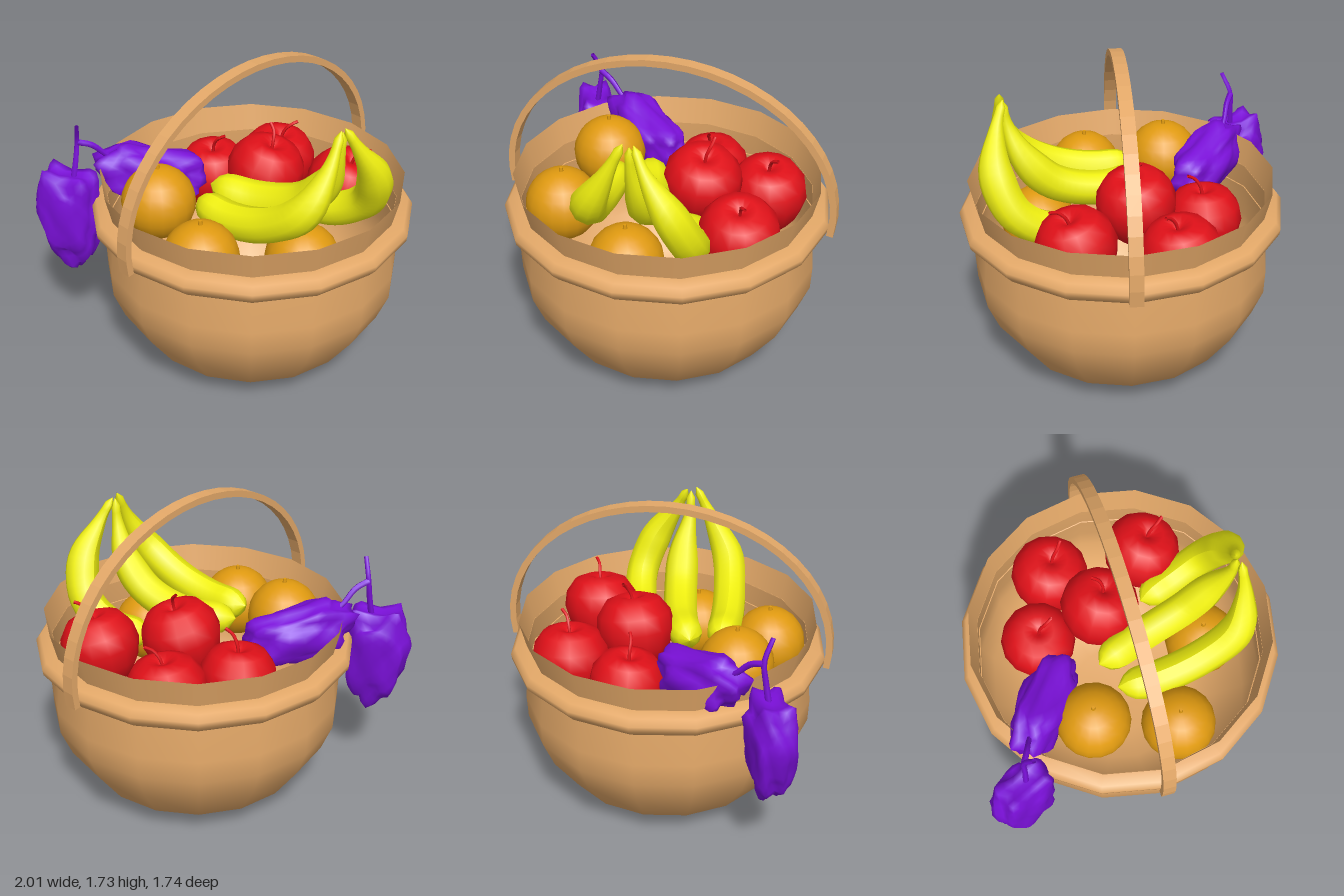
import * as THREE from 'three';
import { mergeVertices } from 'three/addons/utils/BufferGeometryUtils.js';

const paint = (color) => new THREE.MeshStandardMaterial({ color, side: THREE.DoubleSide });
const wicker = paint(0xe3a868), red = paint(0xe01018), orange = paint(0xe09a10);
const yellow = paint(0xf0f010), purple = paint(0x7a10d8);
const V = (p) => new THREE.Vector3(...p);

function add(parent, name, geometry, material, position = [0, 0, 0]) {
  const mesh = new THREE.Mesh(geometry, material);
  mesh.name = name;
  mesh.position.set(...position);
  parent.add(mesh);
  return mesh;
}

const lathe = (points, sides = 16) =>
  new THREE.LatheGeometry(points.map(([r, y]) => new THREE.Vector2(r, y)), sides);

// Tube along a curve whose radius follows a rule of t (0 to 1), closed by tapering
function taperedTube(points, radiusAt, segments, sides) {
  const curve = new THREE.CatmullRomCurve3(points.map(V));
  const geo = new THREE.TubeGeometry(curve, segments, 1, sides);
  const pos = geo.attributes.position, p = new THREE.Vector3();
  for (let i = 0; i < pos.count; i++) {
    const t = Math.floor(i / (sides + 1)) / segments;
    const c = curve.getPointAt(t);
    p.fromBufferAttribute(pos, i).sub(c).multiplyScalar(radiusAt(t)).add(c);
    pos.setXYZ(i, p.x, p.y, p.z);
  }
  geo.computeVertexNormals();
  return geo;
}

// Lumpy bunch: a sphere pushed in and out by waves, narrower towards -y
function bunchGeometry(sx, sy, sz, taper, seed) {
  let geo = new THREE.IcosahedronGeometry(1, 5);
  geo.deleteAttribute('normal');
  geo.deleteAttribute('uv');
  geo = mergeVertices(geo, 1e-4);
  const pos = geo.attributes.position;
  for (let i = 0; i < pos.count; i++) {
    const x = pos.getX(i), y = pos.getY(i), z = pos.getZ(i);
    const k = 1 + 0.1 * Math.sin(6 * x + seed) * Math.cos(5 * y - seed)
      + 0.07 * Math.sin(9 * z + 4 * y + seed) + 0.04 * Math.sin(13 * y + 8 * x);
    const w = k * (1 + taper * y);
    // Raising to a power squares the shoulders a little
    const box = (v) => Math.sign(v) * Math.abs(v) ** 0.8;
    pos.setXYZ(i, box(x) * sx * w, box(y) * sy * k, box(z) * sz * w);
  }
  geo.computeVertexNormals();
  return geo;
}

function makeBasket() {
  const basket = new THREE.Group();
  basket.name = 'basket';
  basket.position.x = 0.13;
  const body = new THREE.Group();
  body.name = 'basketBody';
  body.rotation.y = -0.06;
  basket.add(body);
  add(body, 'bowl', lathe([[0, 0.005], [0.27, 0.018], [0.45, 0.06], [0.6, 0.15],
    [0.74, 0.35], [0.8, 0.5], [0.805, 0.63], [0.785, 0.82], [0.78, 0.95]]), wicker);
  add(body, 'rolledRim', lathe([[0.78, 0.82], [0.83, 0.84], [0.866, 0.88], [0.87, 0.91],
    [0.845, 0.945], [0.78, 0.955]]), wicker);
  add(body, 'collar', lathe([[0.78, 0.95], [0.815, 1.1]]), wicker);

  // Flat strip bent into an arch across the basket
  const shape = new THREE.Shape();
  const n = 28, dip = 0.15;
  const arc = (a, b, i) => {
    const t = -dip + (Math.PI + 2 * dip) * i / n;
    return new THREE.Vector2(a * Math.cos(t), 0.98 + b * Math.sin(t));
  };
  const pts = [];
  for (let i = 0; i <= n; i++) pts.push(arc(0.91, 0.75, i));
  for (let i = n; i >= 0; i--) pts.push(arc(0.875, 0.715, i));
  shape.setFromPoints(pts);
  const strip = new THREE.ExtrudeGeometry(shape, { depth: 0.07, bevelEnabled: false });
  strip.translate(0, 0, -0.035);
  add(basket, 'handle', strip, wicker).rotation.y = 1.12;
  return basket;
}

// Apple with a dimpled top and a bent stalk
function makeApple([x, y, z, r, tiltX, tiltZ, turn]) {
  const apple = new THREE.Group();
  apple.name = 'apple';
  apple.position.set(x, y, z);
  apple.rotation.set(tiltX, turn, tiltZ);
  add(apple, 'appleFlesh', lathe([[0, -0.82], [0.3, -0.92], [0.62, -0.74], [0.87, -0.35],
    [1, 0.1], [0.94, 0.5], [0.7, 0.84], [0.4, 0.95], [0.16, 0.88], [0, 0.74]]
    .map((p) => p.map((v) => v * r)), 14), red);
  add(apple, 'appleStalk', taperedTube([[0, 0.14, 0], [0.01, 0.21, 0], [0.04, 0.26, 0.01],
    [0.08, 0.285, 0.01]], () => 0.009, 8, 6), red);
  return apple;
}

function makeOrange([x, y, z, r]) {
  const fruit = new THREE.Group();
  fruit.name = 'orange';
  fruit.position.set(x, y, z);
  add(fruit, 'orangeFlesh', new THREE.SphereGeometry(r, 18, 12), orange);
  add(fruit, 'orangeStalk', new THREE.CylinderGeometry(0.009, 0.013, 0.03, 6), orange,
    [0, r + 0.006, 0]);
  return fruit;
}

// Plump middle, blunt tip, thin stalk
function bananaRadius(t) {
  if (t === 0 || t === 1) return 0.001;
  const tip = Math.min(1, 0.25 + t / 0.16);
  const neck = THREE.MathUtils.smoothstep(1 - t, 0.04, 0.42);
  return 0.024 + 0.07 * Math.sqrt(tip) * neck - (t < 0.05 ? 0.015 : 0);
}

export function createModel() {
  const model = new THREE.Group();
  model.name = 'fruitBasket';
  model.add(makeBasket());

  // Each: x, y, z, radius, tilt x, tilt z, turn
  [[0.1, 0.865, -0.55, 0.215, 0.1, -0.15, 0.5],
    [0.56, 0.925, -0.3, 0.212, 0.1, -0.25, 0.2],
    [-0.2, 0.855, -0.3, 0.205, 0.1, 0, 0],
    [0.14, 0.99, -0.18, 0.215, -0.2, 0.3, 2.6]]
    .forEach((a) => model.add(makeApple(a)));

  [[-0.3, 0.98, 0.27, 0.2], [0.05, 0.88, 0.56, 0.2], [0.5, 0.79, 0.27, 0.2]]
    .forEach((o) => model.add(makeOrange(o)));

  // Three bananas meeting at the stalk
  const bananas = new THREE.Group();
  bananas.name = 'bananas';
  model.add(bananas);
  [[[-0.09, 1.02, 0.23], [0.1, 0.99, 0.32], [0.35, 1.05, 0.41], [0.55, 1.19, 0.45],
    [0.64, 1.38, 0.38], [0.675, 1.58, 0.29]],
  [[-0.08, 1.02, 0.07], [0.2, 1.0, 0.09], [0.46, 1.08, 0.15], [0.6, 1.24, 0.2],
    [0.66, 1.42, 0.25], [0.675, 1.56, 0.26]],
  [[0.36, 0.93, -0.08], [0.58, 0.93, -0.06], [0.76, 1.05, -0.01], [0.81, 1.25, 0.09],
    [0.75, 1.43, 0.19], [0.68, 1.57, 0.24]]]
    .forEach((path) => add(bananas, 'banana', taperedTube(path, bananaRadius, 28, 10), yellow));

  // Two bunches, one over the rim and one inside, joined by a forked stalk
  const grapes = new THREE.Group();
  grapes.name = 'grapes';
  model.add(grapes);
  add(grapes, 'hangingBunch', bunchGeometry(0.165, 0.29, 0.12, 0.2, 1), purple,
    [-0.82, 0.79, 0.3]);
  add(grapes, 'lyingBunch', bunchGeometry(0.29, 0.14, 0.13, 0, 4), purple,
    [-0.44, 1.01, 0.04]).rotation.set(0, 0.5, -0.2);
  [[[-0.79, 1.0, 0.3], [-0.77, 1.15, 0.28], [-0.76, 1.26, 0.27], [-0.73, 1.37, 0.32]],
    [[-0.76, 1.25, 0.27], [-0.7, 1.22, 0.22], [-0.65, 1.15, 0.17], [-0.58, 1.08, 0.12]]]
    .forEach((path) => add(grapes, 'grapeStalk',
      taperedTube(path, (t) => 0.018 - 0.006 * t, 10, 6), purple));

  return model;
}
